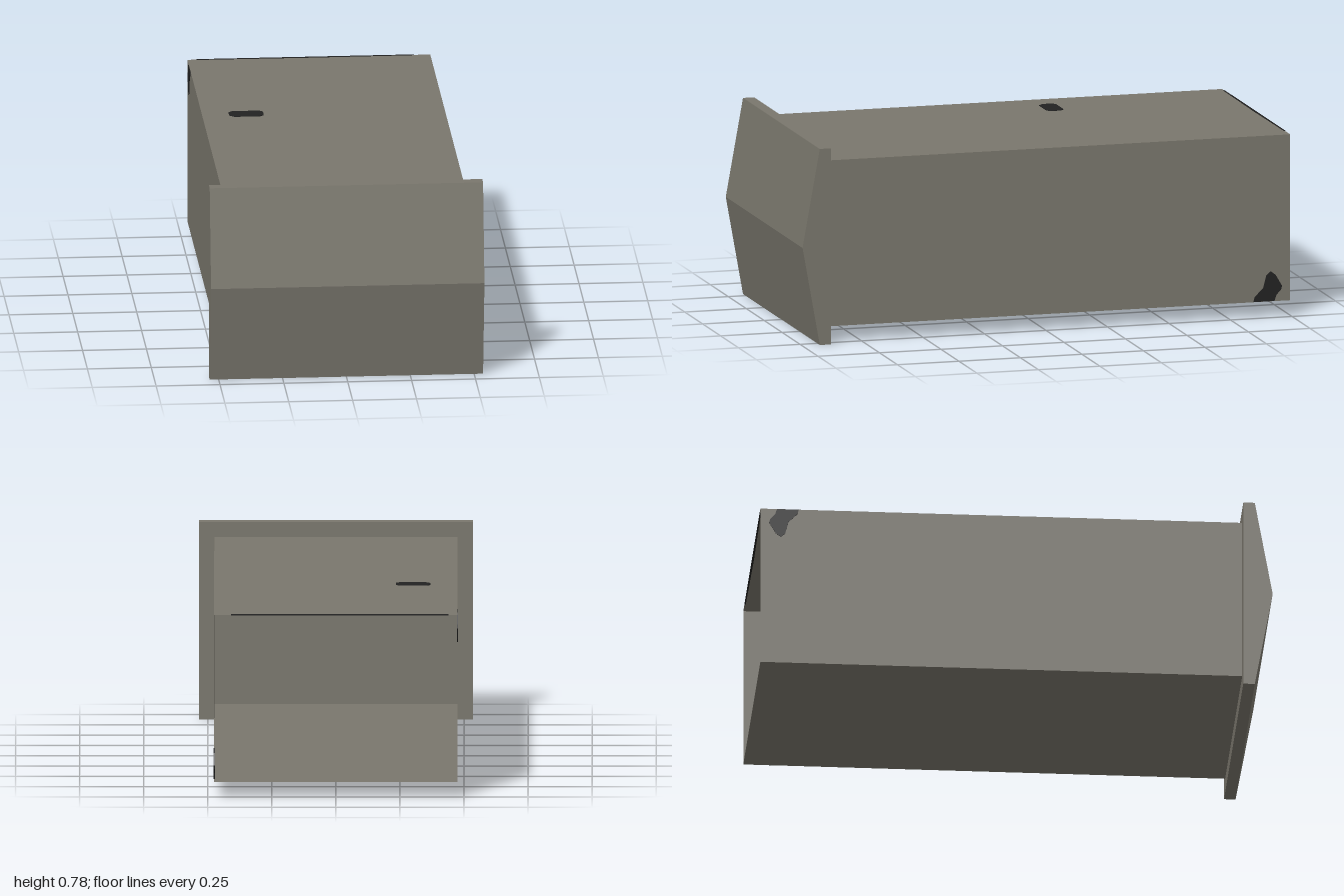
import * as THREE from 'three';

const shell = new THREE.MeshStandardMaterial({ name: 'warm grey', color: 0x7a776d, side: THREE.DoubleSide });
const dark = new THREE.MeshStandardMaterial({ name: 'near black', color: 0x222222 });

const HALF_W = 0.475, BOTTOM = 0.06, TOP = 0.72, BACK = -1, FRONT = 0.885;

// Outline extruded symmetrically about its own plane
function slab(points, depth) {
  const shape = new THREE.Shape(points.map(([a, b]) => new THREE.Vector2(a, b)));
  return new THREE.ExtrudeGeometry(shape, { depth, bevelEnabled: false }).translate(0, 0, -depth / 2);
}
// Outline given as [z, y], extruded along x
const sideSlab = (points, depth) => slab(points.map(([z, y]) => [-z, y]), depth).rotateY(Math.PI / 2);
// Outline given as [x, z], extruded along y
const topSlab = (points, depth) => slab(points.map(([x, z]) => [x, -z]), depth).rotateX(-Math.PI / 2);

export function createModel() {
  const model = new THREE.Group();
  model.name = 'openBox';
  const add = (name, geometry, material, x = 0, y = 0, z = 0) => {
    const mesh = new THREE.Mesh(geometry, material);
    mesh.name = name;
    mesh.position.set(x, y, z);
    model.add(mesh);
  };

  // Thin-walled sleeve, open at the back
  const length = FRONT - BACK, height = TOP - BOTTOM;
  const midY = (TOP + BOTTOM) / 2, midZ = (FRONT + BACK) / 2;
  for (const s of [1, -1]) {
    add(s > 0 ? 'leftWall' : 'rightWall',
      new THREE.PlaneGeometry(length, height).rotateY(s * Math.PI / 2), shell, s * HALF_W, midY, midZ);
    add(s > 0 ? 'topWall' : 'bottomWall',
      new THREE.PlaneGeometry(2 * HALF_W, length).rotateX(-s * Math.PI / 2), shell, 0, s > 0 ? TOP : BOTTOM, midZ);
  }

  // Front cap with a horizontal ridge
  add('frontCap', sideSlab([[0.885, 0], [0.93, 0], [1, 0.39], [0.93, 0.78], [0.885, 0.78]], 1.07), shell);

  // Dark marks, showing on both faces of the thin walls
  const mark = [[-0.85, 0.061], [-0.855, 0.08], [-0.89, 0.115], [-0.903, 0.165], [-0.92, 0.18],
    [-0.94, 0.165], [-0.966, 0.12], [-0.962, 0.105], [-0.943, 0.085], [-0.935, 0.061]];
  add('leftMark', sideSlab(mark, 0.005), dark, HALF_W);
  add('rightMark', sideSlab(mark.map(([z, y]) => [z, 0.78 - y]), 0.005), dark, -HALF_W);
  add('topMark', topSlab([[-0.37, -0.24], [-0.37, -0.275], [-0.355, -0.29], [-0.25, -0.29], [-0.235, -0.275],
    [-0.235, -0.235], [-0.25, -0.22], [-0.35, -0.22]], 0.005), dark, 0, TOP);

  // Narrow dark strip on the rear top edge
  add('rearStrip', topSlab([[-0.44, -1], [0.41, -1], [0.41, -0.995], [0, -0.992], [-0.44, -0.995]], 0.004), dark, 0, TOP);

  return model;
}
